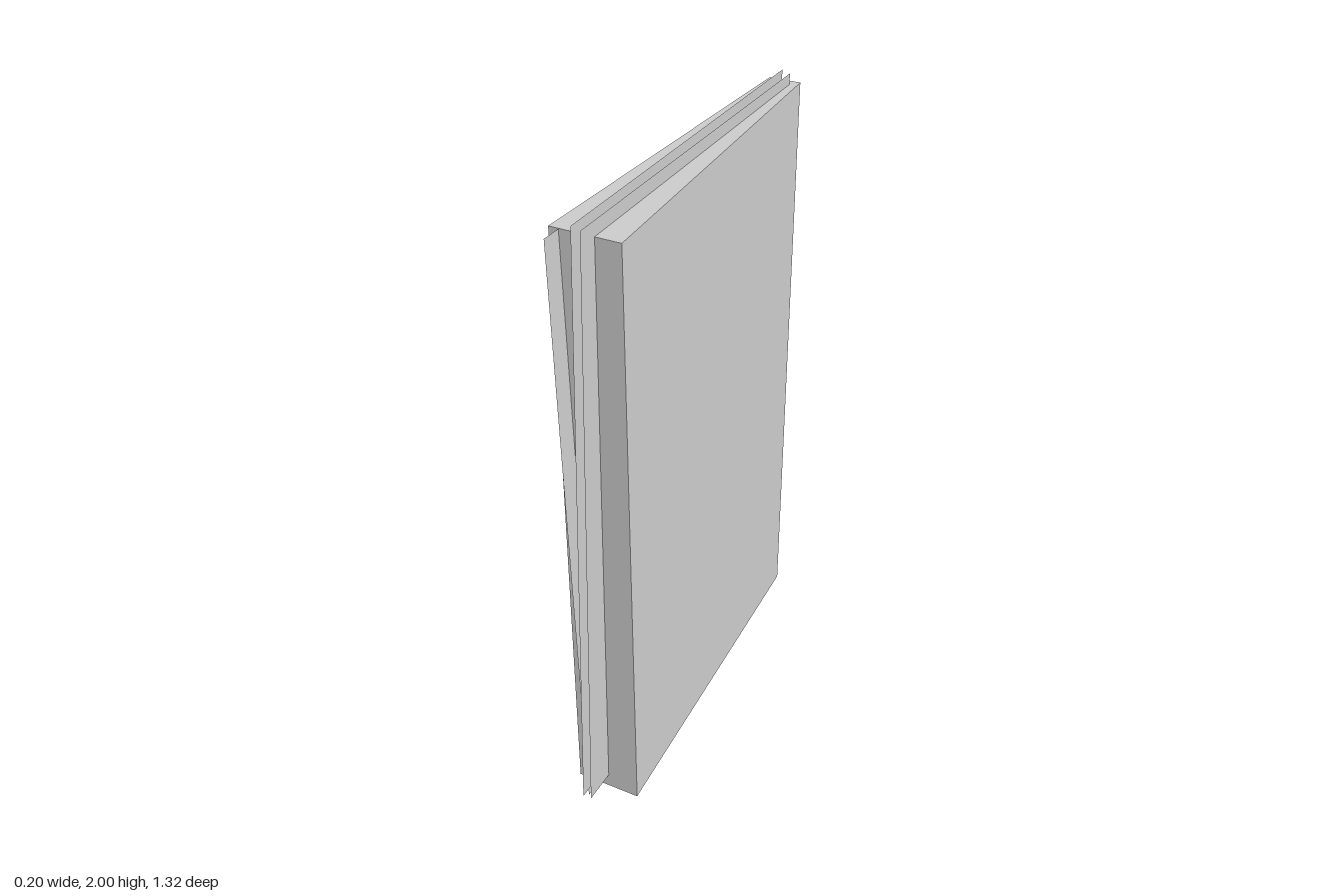
import * as THREE from 'three';

const material = new THREE.MeshStandardMaterial({ color: 0xcccccc, flatShading: true });
const sheetMaterial = new THREE.MeshStandardMaterial({ color: 0xcccccc, flatShading: true, side: THREE.DoubleSide });

// Flat sheet from three corners [x, y, z]; the fourth completes the parallelogram
function sheet(name, topFront, bottomFront, topBack) {
  const geometry = new THREE.PlaneGeometry(1, 1);
  const bottomBack = topBack.map((v, i) => v + bottomFront[i] - topFront[i]);
  [topBack, topFront, bottomBack, bottomFront].forEach((c, i) => geometry.attributes.position.setXYZ(i, ...c));
  geometry.computeVertexNormals();
  const mesh = new THREE.Mesh(geometry, sheetMaterial);
  mesh.name = name;
  return mesh;
}

export function createModel() {
  const group = new THREE.Group();
  group.name = 'bookBlock';

  // Wedge-shaped block: wide at the front, narrow and slightly lower at the back
  const block = new THREE.BoxGeometry(2, 1.92, 1);
  const p = block.attributes.position;
  for (let i = 0; i < p.count; i++) {
    const front = p.getZ(i) > 0;
    p.setXYZ(i, p.getX(i) * (front ? 0.102 : 0.05), p.getY(i) + 0.96 + (front ? 0.02 : 0), front ? 0.532 : -0.66);
  }
  block.computeVertexNormals();
  const body = new THREE.Mesh(block, material);
  body.name = 'block';
  group.add(body);

  // Loose sheets slipping out of the front and top
  group.add(
    sheet('middleSheet', [0.011, 2.0, 0.612], [-0.014, 0.09, 0.66], [0.011, 1.97, -0.612]),
    sheet('leftSheet', [0.028, 1.985, 0.598], [0.002, 0.07, 0.643], [0.028, 1.955, -0.63]),
    sheet('rightSheet', [-0.076, 1.939, 0.595], [-0.035, 0.02, 0.595], [-0.028, 1.92, -0.62]),
  );
  return group;
}
